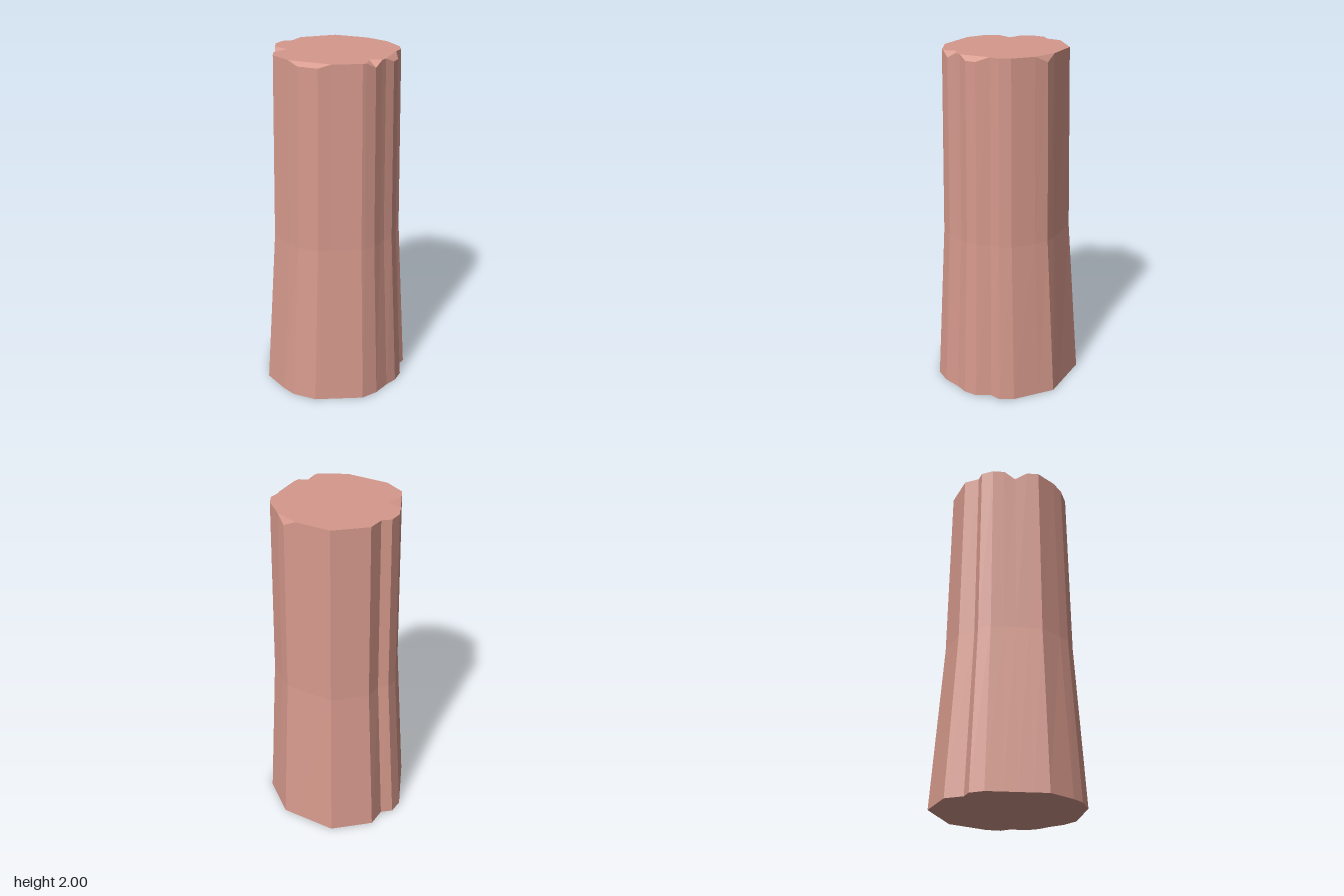
import * as THREE from 'three';

const HEIGHT = 2, WAIST = 0.95, FLARE = 0.22;

// Outline columns, clockwise from above:
// [top x, top z, foot x, foot z, rim drop (chipped), inner notch x, inner notch z]
const COLUMNS = [
  [-0.005, -0.34, -0.015, -0.43],
  [0.18, -0.265, 0.21, -0.334],
  [0.245, -0.235, 0.29, -0.3, 0.035],
  [0.285, -0.17, 0.334, -0.217],
  [0.345, -0.05, 0.41, -0.075],
  [0.35, 0.015, 0.42, 0.01],
  [0.32, 0.065, 0.38, 0.065],
  [0.325, 0.14, 0.39, 0.155, 0.025],
  [0.3, 0.195, 0.355, 0.225, 0.025],
  [0.255, 0.23, 0.3, 0.275],
  [0.235, 0.255, 0.279, 0.301],
  [0.2, 0.305, 0.235, 0.355, 0.03, 0.165, 0.255],
  [0.15, 0.335, 0.175, 0.394],
  [0.13, 0.345, 0.15, 0.41],
  [-0.03, 0.355, -0.046, 0.42],
  [-0.1, 0.36, -0.13, 0.425, 0.02],
  [-0.205, 0.315, -0.26, 0.37, 0.02],
  [-0.255, 0.26, -0.318, 0.312],
  [-0.34, 0.155, -0.42, 0.175],
  [-0.34, 0.085, -0.42, 0.09],
  [-0.34, 0.015, -0.42, 0.01, 0.05, -0.27, 0.015],
  [-0.34, -0.05, -0.42, -0.067],
  [-0.34, -0.12, -0.42, -0.16],
  [-0.305, -0.185, -0.38, -0.235],
  [-0.25, -0.2, -0.31, -0.255],
  [-0.205, -0.28, -0.26, -0.355],
].map(([tx, tz, fx, fz, drop = 0, ix, iz]) => ({
  drop,
  foot: [fx, 0, fz],
  waist: [tx + (fx - tx) * FLARE, WAIST, tz + (fz - tz) * FLARE],
  rim: [tx, HEIGHT - drop, tz],
  inner: ix === undefined ? null : [ix, HEIGHT, iz],
}));

function triangles(list) {
  const geo = new THREE.BufferGeometry();
  geo.setAttribute('position', new THREE.Float32BufferAttribute(list.flat(), 3));
  geo.computeVertexNormals();
  return geo;
}

const quad = (a, b, c, d) => [a, b, c, a, c, d];

export function createModel() {
  const group = new THREE.Group();
  const material = new THREE.MeshStandardMaterial({ color: 0xd6998c, flatShading: true });
  const add = (name, geo) => {
    const mesh = new THREE.Mesh(geo, material);
    mesh.name = name;
    group.add(mesh);
  };

  // Faceted sides: flared foot below the waist, nearly straight above
  const sides = [];
  COLUMNS.forEach((a, i) => {
    const b = COLUMNS[(i + 1) % COLUMNS.length];
    sides.push(...quad(b.foot, a.foot, a.waist, b.waist), ...quad(b.waist, a.waist, a.rim, b.rim));
  });
  add('pillarSides', triangles(sides));

  // Chips broken out of the top edge
  const chips = [];
  COLUMNS.forEach((c, i) => {
    if (!c.drop) return;
    const prev = COLUMNS[i - 1], next = COLUMNS[i + 1], after = COLUMNS[i + 2];
    if (prev.drop) return; // second corner of a wide chip, already covered
    if (next.drop) chips.push(...quad(after.rim, next.rim, c.rim, prev.rim));
    else if (c.inner) chips.push(c.inner, c.rim, prev.rim, next.rim, c.rim, c.inner);
    else chips.push(next.rim, c.rim, prev.rim);
  });
  add('edgeChips', triangles(chips));

  // Flat top, cut back around the chips
  const topLoop = COLUMNS.filter(c => !c.drop || c.inner).map(c => c.inner || c.rim);
  const top = new THREE.ShapeGeometry(new THREE.Shape(topLoop.map(p => new THREE.Vector2(p[0], -p[2]))));
  add('topFace', top.rotateX(-Math.PI / 2).translate(0, HEIGHT, 0));

  // Flat underside
  const base = new THREE.ShapeGeometry(new THREE.Shape(COLUMNS.map(c => new THREE.Vector2(c.foot[0], c.foot[2]))));
  add('baseFace', base.rotateX(Math.PI / 2));

  return group;
}
